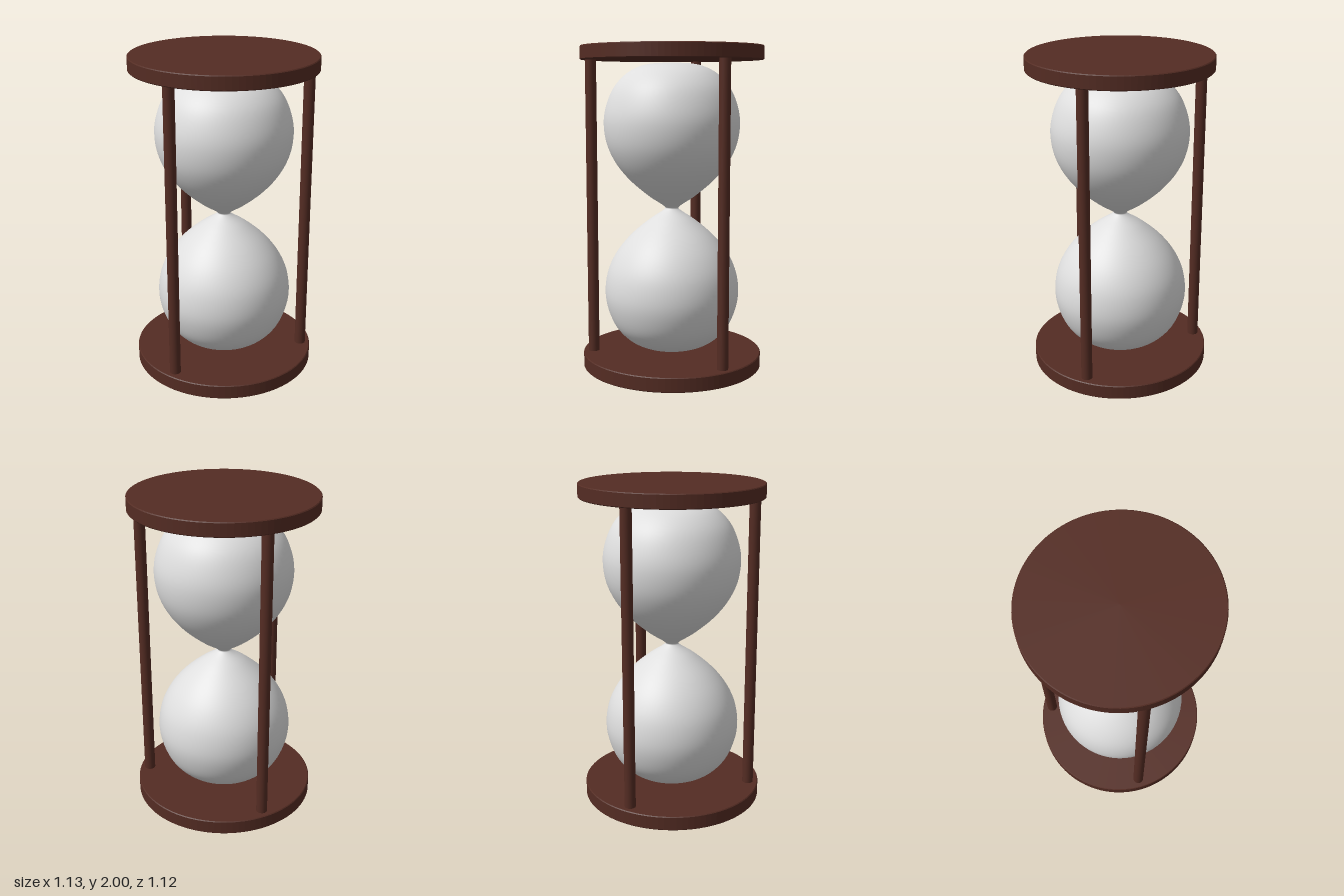
import * as THREE from 'three';

const wood = new THREE.MeshStandardMaterial({ color: 0x542c23 });
wood.name = 'darkWood';
const glass = new THREE.MeshStandardMaterial({ color: 0xdedede });
glass.name = 'paleGlass';

const MID = 1.003; // height of the neck

function addMesh(group, name, geometry, material, x, y, z) {
  const mesh = new THREE.Mesh(geometry, material);
  mesh.name = name;
  mesh.position.set(x, y, z);
  group.add(mesh);
  return mesh;
}

// Round end plate with a tiny bevel; corners are doubled to keep the edges crisp
function plateGeometry(height) {
  const r = 0.565, b = 0.005;
  const corners = [[0, 0], [r - b, 0], [r, b], [r, height - b], [r - b, height], [0, height]];
  const points = corners.flatMap(([x, y], i) => {
    const p = new THREE.Vector2(x, y);
    return i === 0 || i === corners.length - 1 ? [p] : [p, p.clone()];
  });
  // Split into separate faces so that each band has its own normals
  const geometry = new THREE.LatheGeometry(points, 96);
  geometry.scale(1, 1, 0.988);
  const flat = geometry.toNonIndexed();
  flat.computeVertexNormals();
  return flat;
}

// Upper bulb outline as [radius, height above the neck], mirrored for the lower bulb
function bulbGeometry() {
  const upper = [
    [0.05, 0.012], [0.143, 0.075], [0.265, 0.18], [0.35, 0.287], [0.402, 0.4],
    [0.42, 0.53], [0.403, 0.637], [0.355, 0.747], [0.28, 0.828], [0.2, 0.872],
    [0.12, 0.89], [0, 0.894],
  ];
  const lower = upper.map(([r, y]) => [r, -y]).reverse();
  const outline = [...lower, [0.04, 0], ...upper].map(([r, y]) => new THREE.Vector3(r, y, 0));
  const curve = new THREE.CatmullRomCurve3(outline);
  const points = curve.getPoints(144).map((p) => new THREE.Vector2(Math.max(p.x, 0), p.y));
  return new THREE.LatheGeometry(points, 64);
}

export function createModel() {
  const model = new THREE.Group();
  model.name = 'hourglass';

  // End plates
  addMesh(model, 'bottomPlate', plateGeometry(0.09), wood, 0, 0, 0);
  addMesh(model, 'topPlate', plateGeometry(0.085), wood, 0, 1.915, 0);

  // Three posts between the plates
  const postGeometry = new THREE.CylinderGeometry(0.034, 0.034, 1.85, 32);
  const posts = [['rearPost', -0.28, -0.41], ['frontPost', -0.28, 0.41], ['leftPost', 0.503, 0]];
  for (const [name, x, z] of posts) addMesh(model, name, postGeometry, wood, x, MID, z);

  // Double bulb with its narrow neck
  addMesh(model, 'glassBulbs', bulbGeometry(), glass, 0, MID, 0);

  return model;
}
